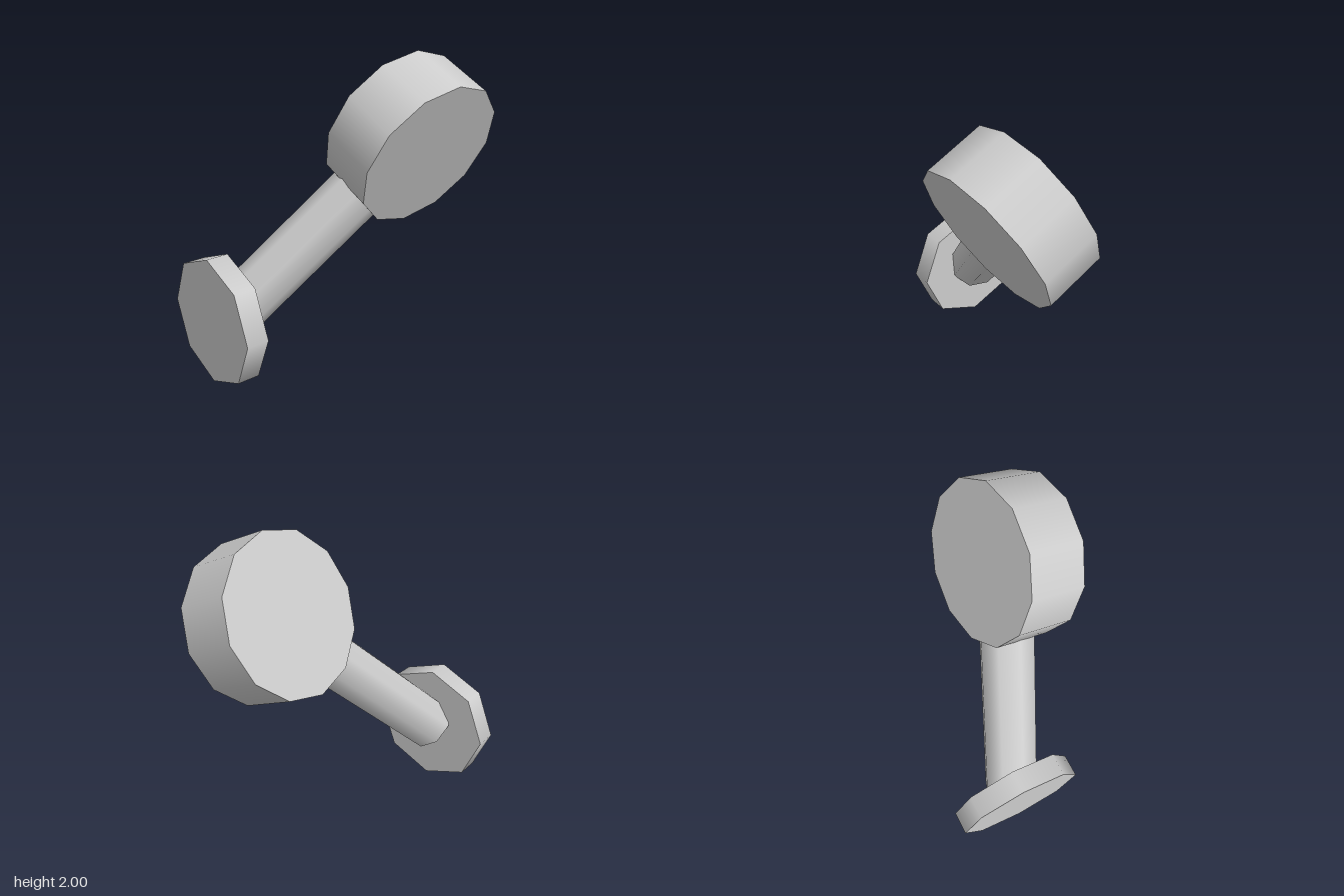
import * as THREE from 'three';

export function createModel() {
  const group = new THREE.Group();
  const grey = new THREE.MeshStandardMaterial({ color: 0xcccccc });
  grey.name = 'light grey';

  const add = (name, radius, length, sides) => {
    const mesh = new THREE.Mesh(new THREE.CylinderGeometry(radius, radius, length, sides), grey);
    mesh.name = name;
    group.add(mesh);
    return mesh;
  };

  // eight-sided mounting plate, upright and facing sideways
  const plate = add('mountingPlate', 0.412, 0.144, 8);
  plate.position.set(-0.768, 0.413, -0.227);
  plate.rotation.z = Math.PI / 2;

  // twelve-sided head, tilted forward and down
  const tilt = THREE.MathUtils.degToRad(25);
  const head = add('head', 0.5, 0.38, 12);
  head.position.set(0.338, 1.468, 0.256);
  head.rotation.x = Math.PI / 2 + tilt;

  // arm from the plate to the middle of the head, in the plane of the head
  const start = new THREE.Vector3(-0.695, 0.413, -0.227);
  const along = head.position.clone().sub(start);
  const arm = add('arm', 0.176, along.length(), 8);
  arm.position.copy(start).addScaledVector(along, 0.5);
  along.normalize();
  const facing = new THREE.Vector3(0, -Math.sin(tilt), Math.cos(tilt));
  facing.addScaledVector(along, -facing.dot(along)).normalize();
  // turn the arm about its own axis so its corners line up
  facing.applyAxisAngle(along, -THREE.MathUtils.degToRad(9));
  const side = new THREE.Vector3().crossVectors(along, facing);
  arm.quaternion.setFromRotationMatrix(new THREE.Matrix4().makeBasis(side, along, facing));

  return group;
}
